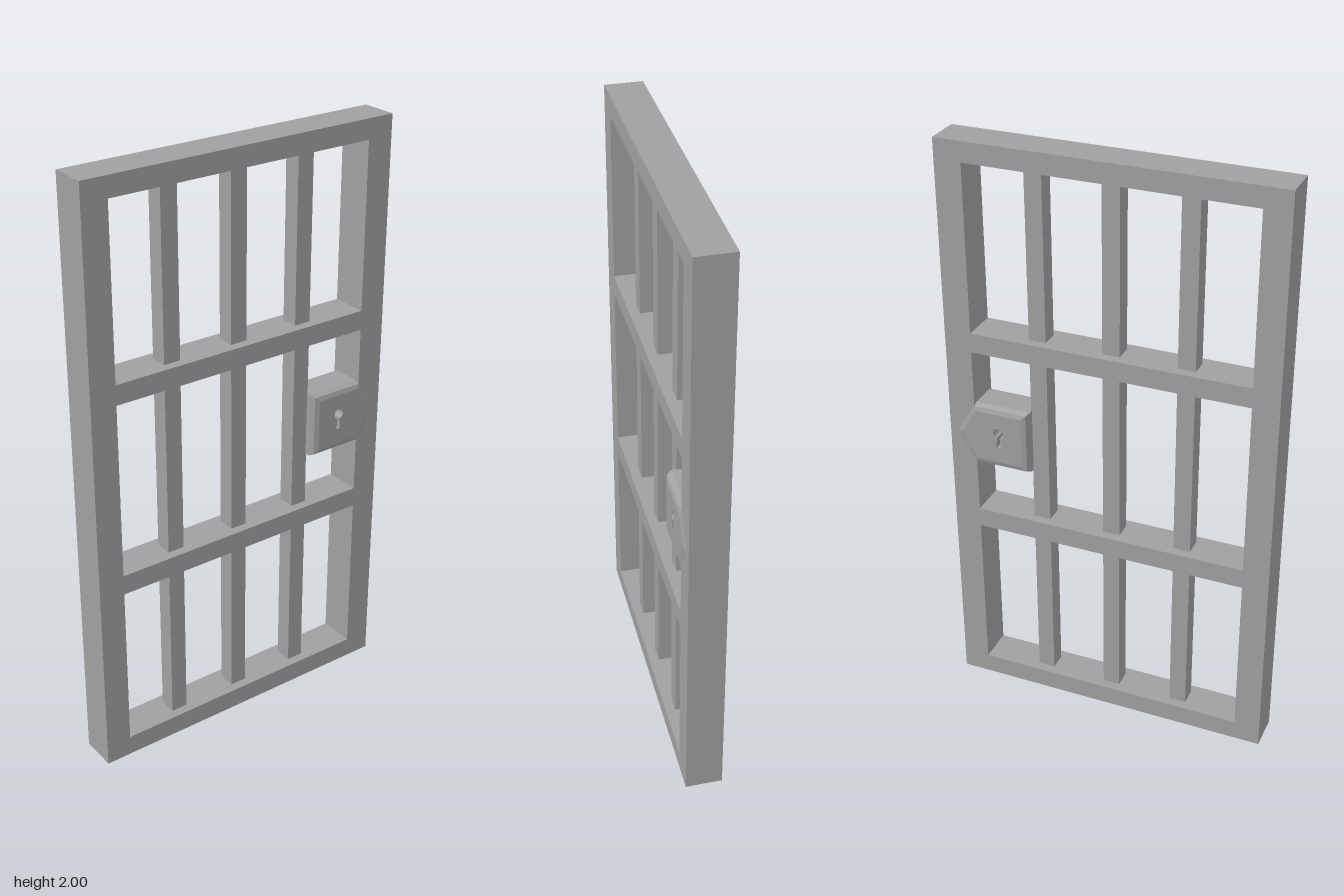
import * as THREE from 'three';

export function createModel() {
  const group = new THREE.Group();
  const iron = new THREE.MeshStandardMaterial({ color: 0xa0a0a0 });
  iron.name = 'grey iron';

  function add(name, geometry) {
    const mesh = new THREE.Mesh(geometry, iron);
    mesh.name = name;
    group.add(mesh);
  }
  // Box given by its x and y limits and its depth, centred on z = 0
  function block(name, x0, x1, y0, y1, depth) {
    const g = new THREE.BoxGeometry(x1 - x0, y1 - y0, depth);
    add(name, g.translate((x0 + x1) / 2, (y0 + y1) / 2, 0));
  }

  // Outer frame and cross rails
  const depth = 0.124;
  block('rightStile', -0.558, -0.47, 0, 2, depth);
  block('leftStile', 0.467, 0.558, 0, 2, depth);
  const rails = { bottomRail: [0, 0.069], lowerRail: [0.637, 0.705], upperRail: [1.3, 1.367], topRail: [1.933, 2] };
  for (const [name, [y0, y1]] of Object.entries(rails)) block(name, -0.47, 0.467, y0, y1, depth);

  // Upright bars, from rail to rail
  const spans = [[0.069, 0.637], [0.705, 1.3], [1.367, 1.933]];
  for (const x of [-0.25, -0.002, 0.248])
    for (const [y0, y1] of spans) block('bar', x - 0.029, x + 0.029, y0, y1, 0.06);

  // Lock case outline, pointed towards the stile
  const outline = [[0.275, 0.888], [0.475, 0.888], [0.542, 1], [0.475, 1.112], [0.275, 1.112]];
  const inset = (s) => outline.map(([x, y]) => new THREE.Vector2(0.4 + (x - 0.4) * s, 1 + (y - 1) * s));

  // Lock plates with a keyhole cut right through
  const face = new THREE.Shape(inset(0.8));
  const keyhole = new THREE.Path();
  keyhole.moveTo(0.374, 0.965);
  keyhole.lineTo(0.39, 0.965);
  keyhole.lineTo(0.387, 1.003);
  keyhole.absarc(0.382, 1.02, 0.018, -1.29, Math.PI + 1.29, false);
  keyhole.lineTo(0.374, 0.965);
  face.holes.push(keyhole);
  const core = new THREE.ExtrudeGeometry(face, { depth: 0.134, bevelEnabled: false, curveSegments: 12 });
  add('lockPlate', core.translate(0, 0, -0.067));

  // Bevelled rim joining the front and back of the lock
  const rings = [[0.8, 0.067], [0.93, 0.062], [1, 0.045], [1, -0.045], [0.93, -0.062], [0.8, -0.067]]
    .map(([s, z]) => inset(s).map((p) => [p.x, p.y, z]));
  const positions = [];
  for (let r = 0; r < rings.length - 1; r++) {
    for (let i = 0; i < outline.length; i++) {
      const j = (i + 1) % outline.length;
      const a = rings[r][i], b = rings[r][j], c = rings[r + 1][j], d = rings[r + 1][i];
      positions.push(...a, ...d, ...c, ...a, ...c, ...b);
    }
  }
  const rim = new THREE.BufferGeometry();
  rim.setAttribute('position', new THREE.Float32BufferAttribute(positions, 3));
  rim.computeVertexNormals();
  add('lockRim', rim);

  return group;
}
